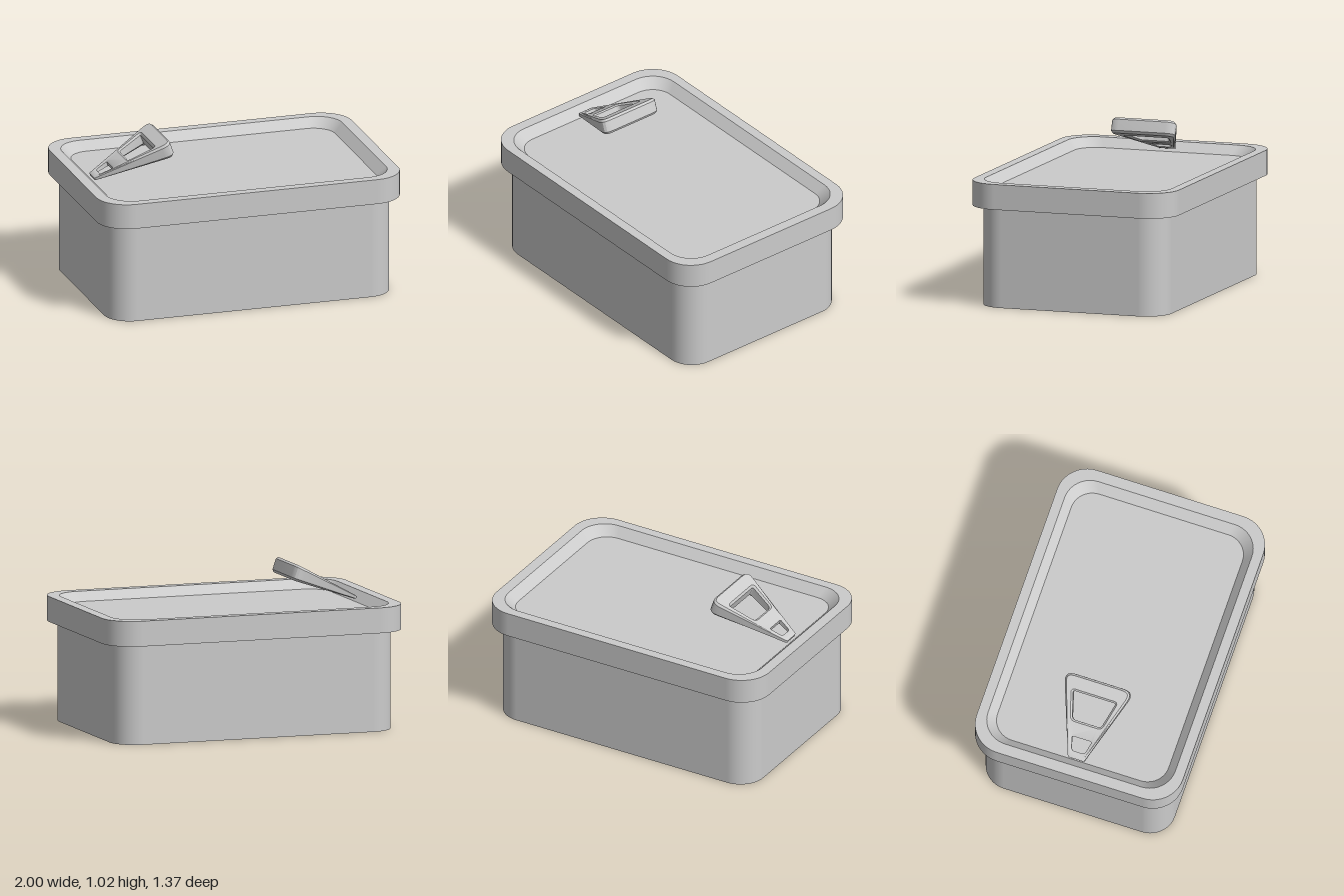
import * as THREE from 'three';
import { toCreasedNormals } from 'three/addons/utils/BufferGeometryUtils.js';

const STEPS = 10; // segments per rounded corner

// Surface through rounded-rectangle rings [halfX, halfZ, radius, y], sharp at each ring
function ringSurface(rings) {
  const pos = [], nor = [], idx = [];
  const n = 4 * (STEPS + 1);
  const addRing = ([hx, hz, r, y], dr, dy) => {
    const len = Math.hypot(dr, dy);
    for (let q = 0; q < 4; q++) {
      const sx = q === 0 || q === 3 ? 1 : -1, sz = q < 2 ? 1 : -1;
      for (let k = 0; k <= STEPS; k++) {
        const a = (q + k / STEPS) * Math.PI / 2, c = Math.cos(a), s = Math.sin(a);
        pos.push(sx * (hx - r) + r * c, y, sz * (hz - r) + r * s);
        nor.push(c * dy / len, -dr / len, s * dy / len);
      }
    }
  };
  for (let i = 0; i + 1 < rings.length; i++) {
    const lo = rings[i], hi = rings[i + 1], base = pos.length / 3;
    const dr = hi[0] - lo[0], dy = hi[3] - lo[3];
    addRing(lo, dr, dy);
    addRing(hi, dr, dy);
    for (let k = 0; k < n; k++) {
      const a = base + k, b = base + (k + 1) % n;
      idx.push(a, a + n, b, b, a + n, b + n);
    }
  }
  const g = new THREE.BufferGeometry();
  g.setAttribute('position', new THREE.Float32BufferAttribute(pos, 3));
  g.setAttribute('normal', new THREE.Float32BufferAttribute(nor, 3));
  g.setIndex(idx);
  return g;
}

// Symmetric trapezoid with rounded corners, from u0 (half width w0) to u1 (half width w1)
function trapezoid(path, u0, w0, u1, w1, r0, r1) {
  const pts = [[u0, -w0, r0], [u1, -w1, r1], [u1, w1, r1], [u0, w0, r0]]
    .map(([x, y, r]) => ({ p: new THREE.Vector2(x, y), r }));
  pts.forEach(({ p, r }, i) => {
    const toward = (q) => q.clone().sub(p).setLength(r).add(p);
    const a = toward(pts[(i + 3) % 4].p), b = toward(pts[(i + 1) % 4].p);
    if (i === 0) path.moveTo(a.x, a.y); else path.lineTo(a.x, a.y);
    path.quadraticCurveTo(p.x, p.y, b.x, b.y);
  });
  path.closePath();
  return path;
}

// Wedge-shaped pull tab with two openings, thicker towards its raised end
function tabGeometry() {
  const shape = trapezoid(new THREE.Shape(), 0, 0.054, 0.514, 0.232, 0.012, 0.075);
  shape.holes.push(
    trapezoid(new THREE.Path(), 0.046, 0.043, 0.134, 0.066, 0.018, 0.012),
    trapezoid(new THREE.Path(), 0.236, 0.095, 0.41, 0.142, 0.022, 0.012));
  const g = new THREE.ExtrudeGeometry(shape, {
    depth: 0.7, bevelThickness: 0.15, bevelSize: 0.012, bevelOffset: -0.012,
    bevelSegments: 1, curveSegments: 5,
  });
  const p = g.attributes.position;
  for (let i = 0; i < p.count; i++) {
    const thickness = 0.022 + 0.157 * p.getX(i);
    p.setZ(i, (p.getZ(i) + 0.15) * thickness);
  }
  g.rotateX(-Math.PI / 2).rotateZ(0.337).translate(-0.871, 0.76, 0);
  return toCreasedNormals(g, 0.5);
}

export function createModel() {
  const model = new THREE.Group();
  const material = new THREE.MeshStandardMaterial({ color: 0xcccccc });
  const add = (name, geometry) => {
    const mesh = new THREE.Mesh(geometry, material);
    mesh.name = name;
    model.add(mesh);
  };

  // Straight-sided tin with a base panel set into it
  add('body', ringSurface([
    [0, 0, 0, 0.085],
    [0.808, 0.493, 0.12, 0.085],
    [0.808, 0.493, 0.12, 0],
    [0.94, 0.626, 0.165, 0],
    [0.94, 0.626, 0.165, 0.638],
  ]));

  // Overhanging rim band
  add('rim', ringSurface([
    [0.94, 0.626, 0.165, 0.638],
    [1, 0.687, 0.2, 0.638],
    [1, 0.687, 0.2, 0.8],
    [0.93, 0.624, 0.17, 0.8],
  ]));

  // Lid panel sunk inside the rim
  add('lid', ringSurface([
    [0.93, 0.624, 0.17, 0.8],
    [0.872, 0.57, 0.14, 0.742],
    [0, 0, 0, 0.742],
  ]));

  add('pullTab', tabGeometry());
  return model;
}
